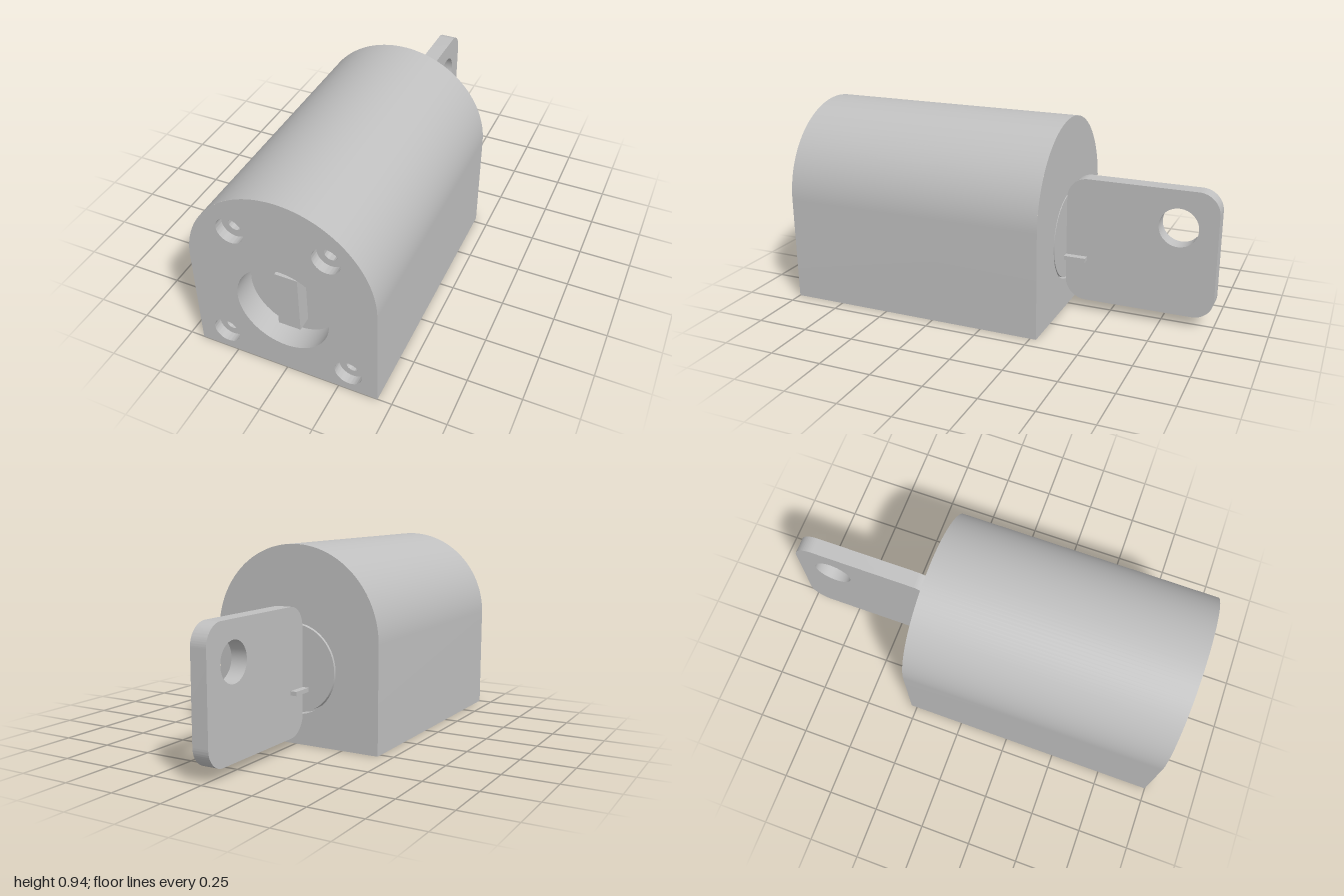
import * as THREE from 'three';
import { toCreasedNormals } from 'three/addons/utils/BufferGeometryUtils.js';

const FRONT = 1, BACK = -0.28, HALF = 0.434, SPRING = 0.506;
const BORE = { x: 0, y: 0.362, r: 0.217 };
const SCREWS = [[0.217, 0.724], [-0.217, 0.724], [0.298, 0.102], [-0.298, 0.102]];

export function createModel() {
  const group = new THREE.Group();
  const metal = new THREE.MeshStandardMaterial({ color: 0xc0c0c0 });
  metal.name = 'grey metal';

  function add(name, geometry, x = 0, y = 0, z = 0) {
    const mesh = new THREE.Mesh(geometry, metal);
    mesh.name = name;
    mesh.position.set(x, y, z);
    group.add(mesh);
    return mesh;
  }

  function punch(shape, x, y, r) {
    const hole = new THREE.Path();
    hole.absarc(x, y, r, 0, Math.PI * 2, true);
    shape.holes.push(hole);
  }

  // Arched outline of the housing
  function arch() {
    const s = new THREE.Shape();
    s.moveTo(-HALF, 0);
    s.lineTo(HALF, 0);
    s.lineTo(HALF, SPRING);
    s.absarc(0, SPRING, HALF, 0, Math.PI, false);
    s.lineTo(-HALF, 0);
    return s;
  }

  // Stepped round recess; profile runs from the rim inwards
  function recess(profile, facing) {
    const points = profile.map(([r, d]) => new THREE.Vector2(r, -d));
    const g = new THREE.LatheGeometry(points, 64);
    g.rotateX(facing * Math.PI / 2);
    return toCreasedNormals(g, 0.6);
  }

  // Housing wall: only the side faces of the extrusion
  const solid = new THREE.ExtrudeGeometry(arch(), {
    depth: FRONT - BACK, bevelEnabled: false, curveSegments: 40,
  });
  const side = solid.groups[1];
  const wall = new THREE.BufferGeometry();
  wall.setAttribute('position', new THREE.BufferAttribute(
    solid.attributes.position.array.slice(side.start * 3, (side.start + side.count) * 3), 3));
  add('housingWall', toCreasedNormals(wall, 0.6), 0, 0, BACK);

  // Front plate with the central bore and four screw holes
  const front = arch();
  punch(front, BORE.x, BORE.y, BORE.r);
  for (const [x, y] of SCREWS) punch(front, x, y, 0.064);
  add('frontPlate', new THREE.ShapeGeometry(front, 32), 0, 0, FRONT);

  // Back plate with the opening for the lock plug
  const back = arch();
  punch(back, BORE.x, BORE.y, BORE.r);
  add('backPlate', new THREE.ShapeGeometry(back, 32).rotateY(Math.PI), 0, 0, BACK);

  // Counterbored screw holes
  for (const [x, y] of SCREWS) {
    add('screwHole', recess([[0.064, 0], [0.064, 0.045], [0.03, 0.045], [0.03, 0.3], [0, 0.3]], 1),
      x, y, FRONT);
  }

  // Front recess and the drive tongue standing in it
  add('frontRecess', recess([[BORE.r, 0], [BORE.r, 0.115], [0, 0.115]], 1), 0, BORE.y, FRONT);
  add('driveTongue', new THREE.BoxGeometry(0.106, 0.29, 0.075), 0, 0.363, 0.9175);

  // Lock plug at the back, with a fine groove around it
  add('lockPlug', recess([[BORE.r, 0], [BORE.r, 0.05], [0.209, 0.05], [0.209, 0], [0, 0]], -1),
    0, BORE.y, BACK);

  // Key bow: rounded plate with a ring hole, drawn with its length along -z
  const key = new THREE.Shape();
  const u0 = 0.28, u1 = 1, v0 = 0.053, v1 = 0.663, r = 0.1;
  key.moveTo(u0 + r, v0);
  key.absarc(u1 - r, v0 + r, r, -Math.PI / 2, 0, false);
  key.absarc(u1 - r, v1 - r, r, 0, Math.PI / 2, false);
  key.absarc(u0 + r, v1 - r, r, Math.PI / 2, Math.PI, false);
  key.absarc(u0 + r, v0 + r, r, Math.PI, Math.PI * 1.5, false);
  punch(key, 0.817, 0.483, 0.093);
  const bow = new THREE.ExtrudeGeometry(key, { depth: 0.08, bevelEnabled: false, curveSegments: 24 });
  bow.translate(0, 0, -0.04).rotateY(Math.PI / 2);
  add('keyBow', toCreasedNormals(bow, 0.6));

  // Small cross fin where the key enters the plug
  add('keyFin', new THREE.BoxGeometry(0.144, 0.02, 0.125), 0, 0.267, -0.3225);

  return group;
}
